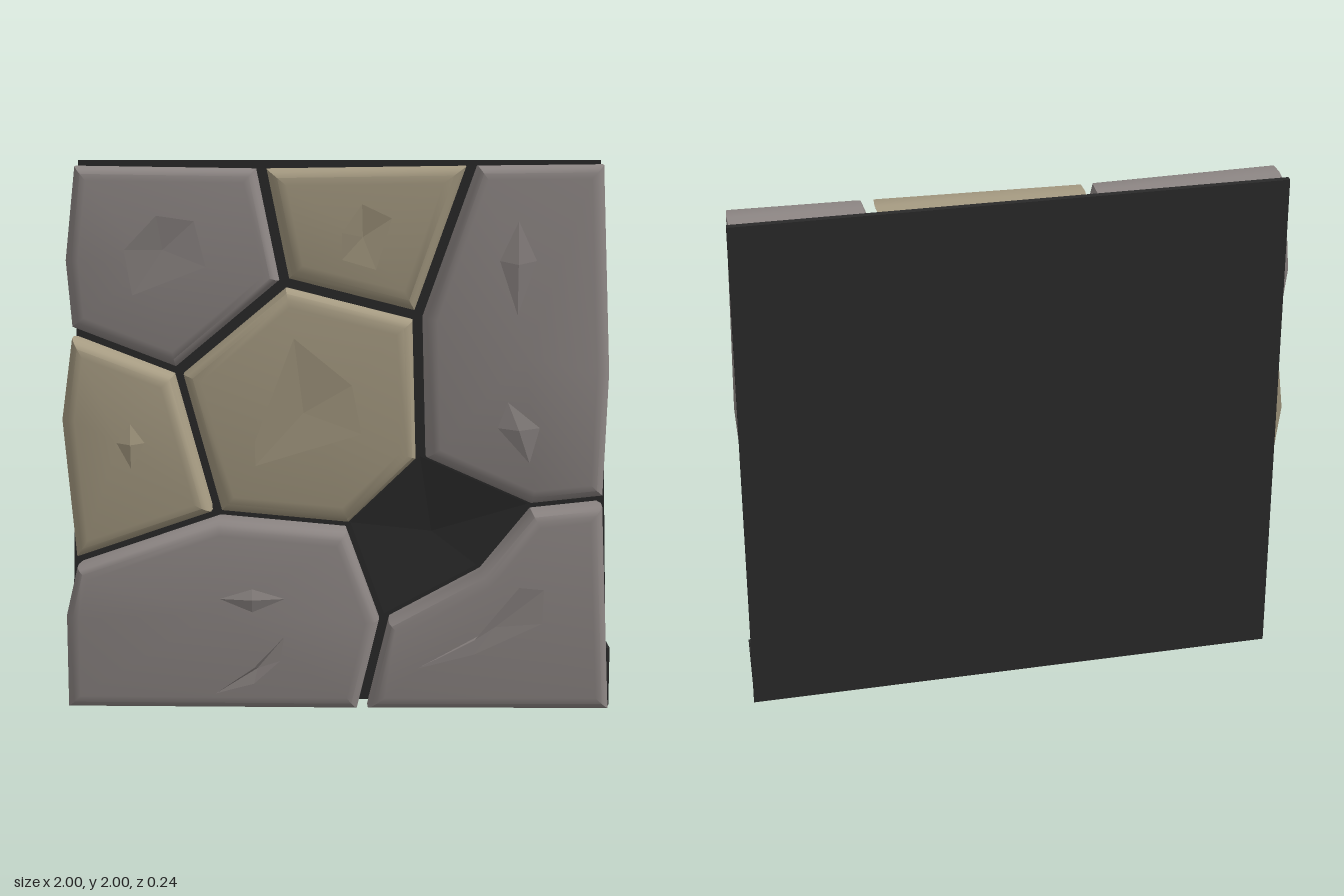
import * as THREE from 'three';
import { toCreasedNormals } from 'three/addons/utils/BufferGeometryUtils.js';

// Points where the seams between stones meet
const joints = {
  a: [-0.95, 2], b: [-0.28, 1.99], c: [0.475, 2], d: [0.95, 2.005],
  e: [-0.195, 1.57], f: [-0.58, 1.25], g: [-0.97, 1.4], h: [-0.99, 1.65],
  i: [0.28, 1.45], j: [0.295, 0.93], k: [0.69, 0.755], l: [0.97, 0.785], m: [0.985, 1.25],
  n: [-0.44, 0.73], o: [0.04, 0.685], p: [-0.97, 0.55], q: [-1.015, 1.08],
  r: [0.165, 0.34], s: [0.08, -0.012], t: [-1.015, -0.005], u: [-1.015, 0.36],
  v: [1.008, -0.012], w: [0.505, 0.525],
};
// Counter-clockwise outline from a clockwise list of joint letters
const cell = (letters) => [...letters].reverse().map((c) => joints[c]);

// Move a counter-clockwise outline inwards by a fixed distance
function inset(pts, d) {
  const n = pts.length;
  const normal = (a, b) => {
    const l = Math.hypot(b[0] - a[0], b[1] - a[1]);
    return [-(b[1] - a[1]) / l, (b[0] - a[0]) / l];
  };
  return pts.map((p, i) => {
    const u = normal(pts[(i + n - 1) % n], p), v = normal(p, pts[(i + 1) % n]);
    const k = d / (1 + u[0] * v[0] + u[1] * v[1]);
    return [p[0] + (u[0] + v[0]) * k, p[1] + (u[1] + v[1]) * k];
  });
}

const middleOf = (pts) => [0, 1].map((k) => pts.reduce((s, p) => s + p[k], 0) / pts.length);

function indexed(pos, idx) {
  const g = new THREE.BufferGeometry();
  g.setAttribute('position', new THREE.Float32BufferAttribute(pos, 3));
  g.setIndex(idx);
  return g;
}

// Stone block: stacked rings of one outline with a rounded front edge
function stoneGeometry(letters, bevel) {
  const pts = inset(cell(letters), 0.018), n = pts.length;
  const rings = [[-0.105, 0.006], [-0.02, 0], [0.035, 0.002], [0.058, 0.25 * bevel],
    [0.07, 0.55 * bevel], [0.075, bevel]];
  const pos = [], idx = [];
  for (const [z, d] of rings) for (const p of inset(pts, d)) pos.push(p[0], p[1], z);
  for (let r = 0; r < rings.length - 1; r++) {
    for (let i = 0; i < n; i++) {
      const a = r * n + i, b = r * n + (i + 1) % n;
      idx.push(a, b, b + n, a, b + n, a + n);
    }
  }
  // front and back caps fan out from the middle
  const m = middleOf(pts), front = rings.length * n, last = front - n;
  pos.push(...m, 0.078, ...m, -0.105);
  for (let i = 0; i < n; i++) {
    const j = (i + 1) % n;
    idx.push(last + i, last + j, front, j, i, front + 1);
  }
  return toCreasedNormals(indexed(pos, idx), 0.6);
}

// Faceted shell: a counter-clockwise outline joined to its middle.
// The rim rises towards the upper left by the given lift.
function shellGeometry(pts, rimZ, middleZ, lift) {
  const n = pts.length, m = middleOf(pts), pos = [], idx = [];
  pts.forEach(([x, y], i) => {
    const dx = x - m[0], dy = y - m[1];
    const side = Math.max(0, (dy - dx) / (Math.hypot(dx, dy) * Math.SQRT2));
    pos.push(x, y, rimZ + lift * side);
    idx.push(i, (i + 1) % n, n);
  });
  pos.push(...m, middleZ);
  const g = indexed(pos, idx).toNonIndexed();
  g.computeVertexNormals();
  return g;
}

export function createModel() {
  const model = new THREE.Group();
  const material = (name, color) =>
    new THREE.MeshStandardMaterial({ name, color, side: THREE.DoubleSide });
  const grey = material('grey stone', 0x8e8785);
  const tan = material('tan stone', 0xa69b82);
  const dark = material('dark mortar', 0x2a2a2a);
  const add = (name, geometry, mat) => {
    const mesh = new THREE.Mesh(geometry, mat);
    mesh.name = name;
    model.add(mesh);
  };

  // Backing plate, a little wider at the foot
  const plate = new THREE.BoxGeometry(2, 2, 0.02).translate(0, 1, -0.11);
  const p = plate.attributes.position;
  for (let i = 0; i < p.count; i++) if (p.getY(i) > 1) p.setX(i, p.getX(i) * 0.938);
  add('backPlate', plate, dark);

  // Stones
  add('topLeftStone', stoneGeometry('abefgh', 0.05), grey);
  add('topMiddleStone', stoneGeometry('bcie', 0.06), tan);
  add('rightStone', stoneGeometry('cdmlkji', 0.05), grey);
  add('leftStone', stoneGeometry('gfnpq', 0.05), tan);
  add('centreStone', stoneGeometry('feijon', 0.06), tan);
  add('bottomLeftStone', stoneGeometry('pnorstu', 0.05), grey);
  add('bottomRightStone', stoneGeometry('rwklvs', 0.05), grey);

  // Faceted mortar in the gap of the missing stone
  add('gapMortar', shellGeometry(cell('ojkwr'), -0.06, -0.09, 0), dark);

  // Mortar lump at the lower right corner
  add('cornerMortar', new THREE.BoxGeometry(0.03, 0.22, 0.09).translate(0.982, 0.112, -0.06), dark);

  // Hollow chips just in front of the stones, outlined clockwise
  const hollow = (name, mat, ...rim) =>
    add(name, shellGeometry(rim.reverse(), 0.09, 0.086, 0.027), mat);
  hollow('topLeftChip', grey,
    [-0.64, 1.81], [-0.51, 1.79], [-0.47, 1.63], [-0.73, 1.53], [-0.755, 1.69]);
  hollow('topMiddleChip', tan,
    [0.08, 1.85], [0.185, 1.8], [0.13, 1.62], [0.01, 1.655], [0.01, 1.75]);
  hollow('centreChip', tan,
    [-0.16, 1.38], [0.045, 1.21], [0.08, 1.035], [-0.3, 0.92], [-0.3, 1.01]);
  hollow('bottomLeftLowerChip', grey,
    [-0.2, 0.29], [-0.215, 0.2], [-0.31, 0.115], [-0.45, 0.08], [-0.31, 0.18]);
  hollow('bottomRightChip', grey,
    [0.285, 0.175], [0.49, 0.28], [0.65, 0.475], [0.74, 0.465], [0.735, 0.34], [0.49, 0.225]);

  // Raised kite-shaped chips: centre, size and lean of the long axis
  const raised = (name, mat, x, y, w, h, lean) => add(name, shellGeometry([
    [x - lean, y + h / 2], [x - w / 2, y + h * 0.08],
    [x + lean, y - h / 2], [x + w / 2, y + h * 0.08]], 0.09, 0.102, 0), mat);
  raised('leftChip', tan, -0.745, 0.99, 0.1, 0.16, 0);
  raised('rightUpperChip', grey, 0.63, 1.625, 0.13, 0.33, 0);
  raised('rightLowerChip', grey, 0.64, 1.04, 0.15, 0.22, 0.04);
  raised('bottomLeftUpperChip', grey, -0.315, 0.425, 0.235, 0.085, 0);

  return model;
}
